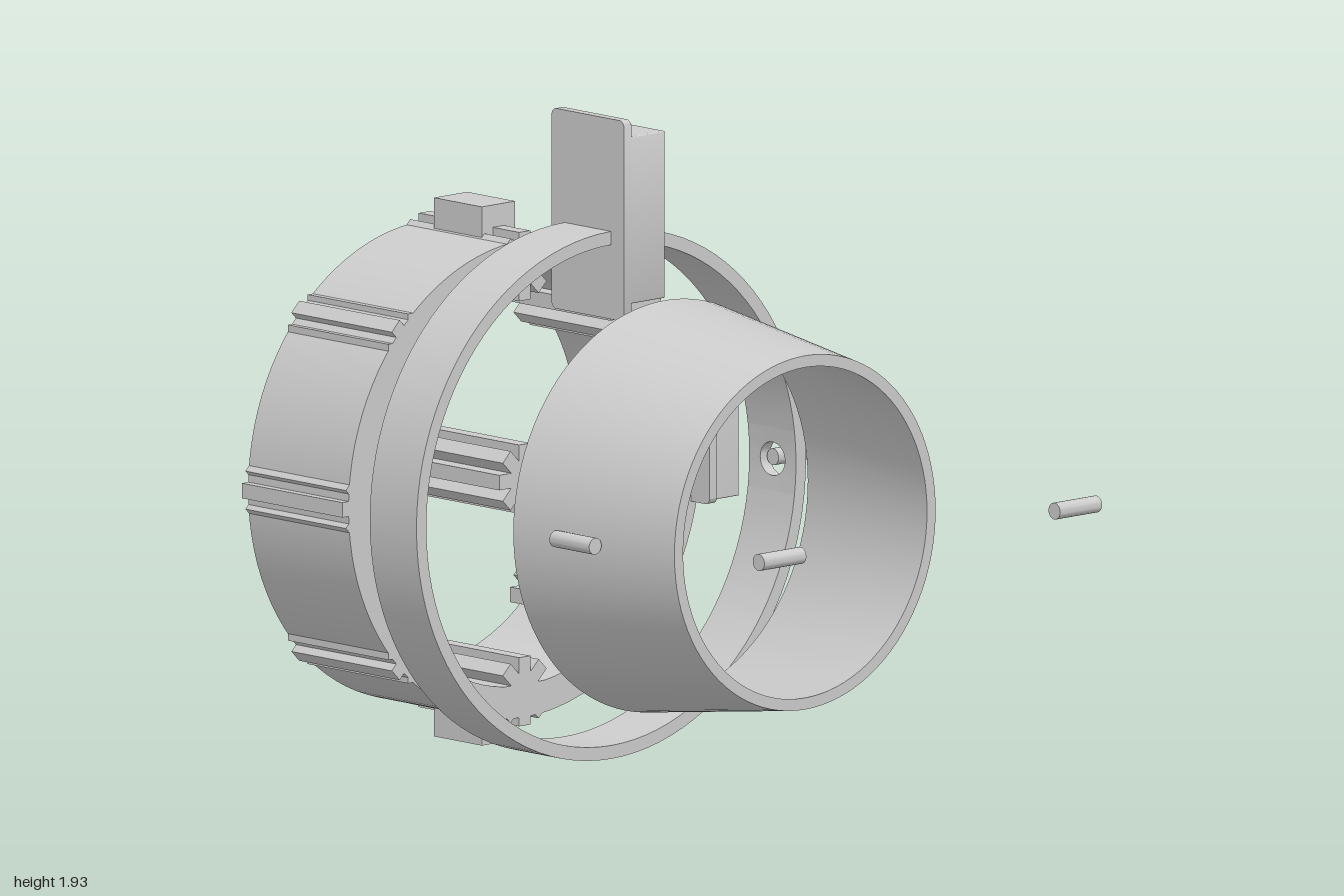
import * as THREE from 'three';
import { toCreasedNormals } from 'three/addons/utils/BufferGeometryUtils.js';

const material = new THREE.MeshStandardMaterial({ color: 0xcccccc });

function mesh(name, geometry, parent) {
  const m = new THREE.Mesh(toCreasedNormals(geometry, 0.5), material);
  m.name = name;
  parent.add(m);
  return m;
}

// Revolved wall around the z axis from a closed profile of [radius, z] points
function revolve(profile, start = 0, length = Math.PI * 2) {
  const points = [...profile, profile[0]].map(([r, z]) => new THREE.Vector2(r, z));
  return new THREE.LatheGeometry(points, 96, start, length).rotateX(Math.PI / 2);
}

function extrude(shape, depth, z = 0) {
  return new THREE.ExtrudeGeometry(shape, { depth, bevelEnabled: false, curveSegments: 6 }).translate(0, 0, z);
}

function roundedRect(w, h, r, Type = THREE.Shape) {
  const s = new Type();
  const x = w / 2 - r, y = h / 2 - r;
  s.absarc(x, y, r, 0, Math.PI / 2);
  s.absarc(-x, y, r, Math.PI / 2, Math.PI);
  s.absarc(-x, -y, r, Math.PI, Math.PI * 1.5);
  s.absarc(x, -y, r, Math.PI * 1.5, Math.PI * 2);
  s.closePath();
  return s;
}

// Eight-armed asterisk outline: arm tips joined at the inner corners
function starShape(radius, armWidth) {
  const points = [], h = armWidth / 2;
  const inner = h / Math.sin(Math.PI / 8);
  for (let i = 0; i < 8; i++) {
    const a = i * Math.PI / 4, c = Math.cos(a), s = Math.sin(a);
    points.push(new THREE.Vector2(radius * c + h * s, radius * s - h * c));
    points.push(new THREE.Vector2(radius * c - h * s, radius * s + h * c));
    points.push(new THREE.Vector2(inner * Math.cos(a + Math.PI / 8), inner * Math.sin(a + Math.PI / 8)));
  }
  return new THREE.Shape(points);
}

// Curved square of ring wall pierced by a round hole on the +x side
function piercedPatch(rOut, rIn, half, hole, zMid) {
  const positions = [], n = 32;
  const at = (r, size, i, square) => {
    const t = i * Math.PI * 2 / n, c = Math.cos(t), s = Math.sin(t);
    const k = square ? size / Math.max(Math.abs(c), Math.abs(s)) : size;
    const u = s * k / rOut;
    return [r * Math.cos(u), r * Math.sin(u), zMid - c * k];
  };
  const quad = (a, b, c, d) => positions.push(...a, ...b, ...c, ...a, ...c, ...d);
  for (let i = 0; i < n; i++) {
    const h = (r, j) => at(r, hole, j, false), e = (r, j) => at(r, half, j, true);
    quad(h(rOut, i), e(rOut, i), e(rOut, i + 1), h(rOut, i + 1));
    quad(h(rIn, i), h(rIn, i + 1), e(rIn, i + 1), e(rIn, i));
    quad(h(rOut, i), h(rOut, i + 1), h(rIn, i + 1), h(rIn, i));
    quad(e(rOut, i), e(rIn, i), e(rIn, i + 1), e(rOut, i + 1));
  }
  const g = new THREE.BufferGeometry();
  g.setAttribute('position', new THREE.Float32BufferAttribute(positions, 3));
  g.computeVertexNormals();
  return g;
}

// Open box on a wider backing plate, opening toward +x, long side along y
function handle(name, parent) {
  const g = new THREE.Group();
  g.name = name;
  mesh('backPlate', extrude(roundedRect(0.31, 0.6, 0.02), 0.03).rotateY(Math.PI / 2), g);
  const frame = roundedRect(0.31, 0.5, 0.004);
  frame.holes.push(roundedRect(0.215, 0.4, 0.025, THREE.Path));
  mesh('boxFrame', extrude(frame, 0.135, 0.03).rotateY(Math.PI / 2), g);
  parent.add(g);
  return g;
}

export function createModel() {
  const model = new THREE.Group();

  // Everything round shares one axis along z
  const core = new THREE.Group();
  core.name = 'coaxialParts';
  core.position.set(-0.08, 0.81, 0);
  model.add(core);

  // Tapered front sleeve
  mesh('taperedSleeve', revolve([[0.615, 0.12], [0.53, 0.72], [0.495, 0.72], [0.58, 0.12]]), core);

  // Thin middle ring with a pin hole on its left side
  const gap = 0.1 / 0.79;
  mesh('middleRing', revolve([[0.79, -0.31], [0.79, -0.11], [0.75, -0.11], [0.75, -0.31]],
    Math.PI / 2 + gap, Math.PI * 2 - gap * 2), core);
  mesh('middleRingHole', piercedPatch(0.79, 0.75, 0.1, 0.053, -0.21), core);

  // Rear drum
  mesh('rearDrum', revolve([[0.715, -0.91], [0.715, -0.48], [0.62, -0.48], [0.62, -0.91]]), core);

  // Star rods around the drum wall and one in its middle
  const star = extrude(starShape(0.103, 0.045), 0.43, -0.91);
  mesh('centreStarRod', star, core);
  for (let i = 0; i < 8; i++) {
    const a = i * Math.PI / 4;
    mesh('wallStarRod', star, core).position.set(0.637 * Math.cos(a), 0.637 * Math.sin(a), 0);
  }

  // Lugs above and below the drum
  for (const side of [1, -1]) {
    mesh('drumLug', new THREE.BoxGeometry(0.135, 0.11, 0.205), core).position.set(0, side * 0.752, -0.695);
  }

  // Box handles on the middle ring and the drum
  handle('ringHandle', model).position.set(-0.08, 1.637, -0.21);
  const drumHandle = handle('drumHandle', model);
  drumHandle.rotation.x = Math.PI / 2;
  drumHandle.position.set(0.595, 0.81, -0.7);

  // Pins: two set in the sleeve, one in the ring hole, two loose in front
  const pin = new THREE.CylinderGeometry(0.025, 0.025, 0.17, 24);
  const pinAlongZ = pin.clone().rotateX(Math.PI / 2);
  const pinAlongX = pin.clone().rotateZ(Math.PI / 2);
  for (const side of [1, -1]) {
    mesh('sleevePin', pinAlongZ, core).position.set(side * 0.6, 0, 0.37);
  }
  mesh('ringPin', pinAlongX, model).position.set(0.775, 0.81, -0.23);
  for (const x of [-0.425, 0.775]) {
    mesh('loosePin', pinAlongX, model).position.set(x, 0.81, 0.975);
  }

  return model;
}
